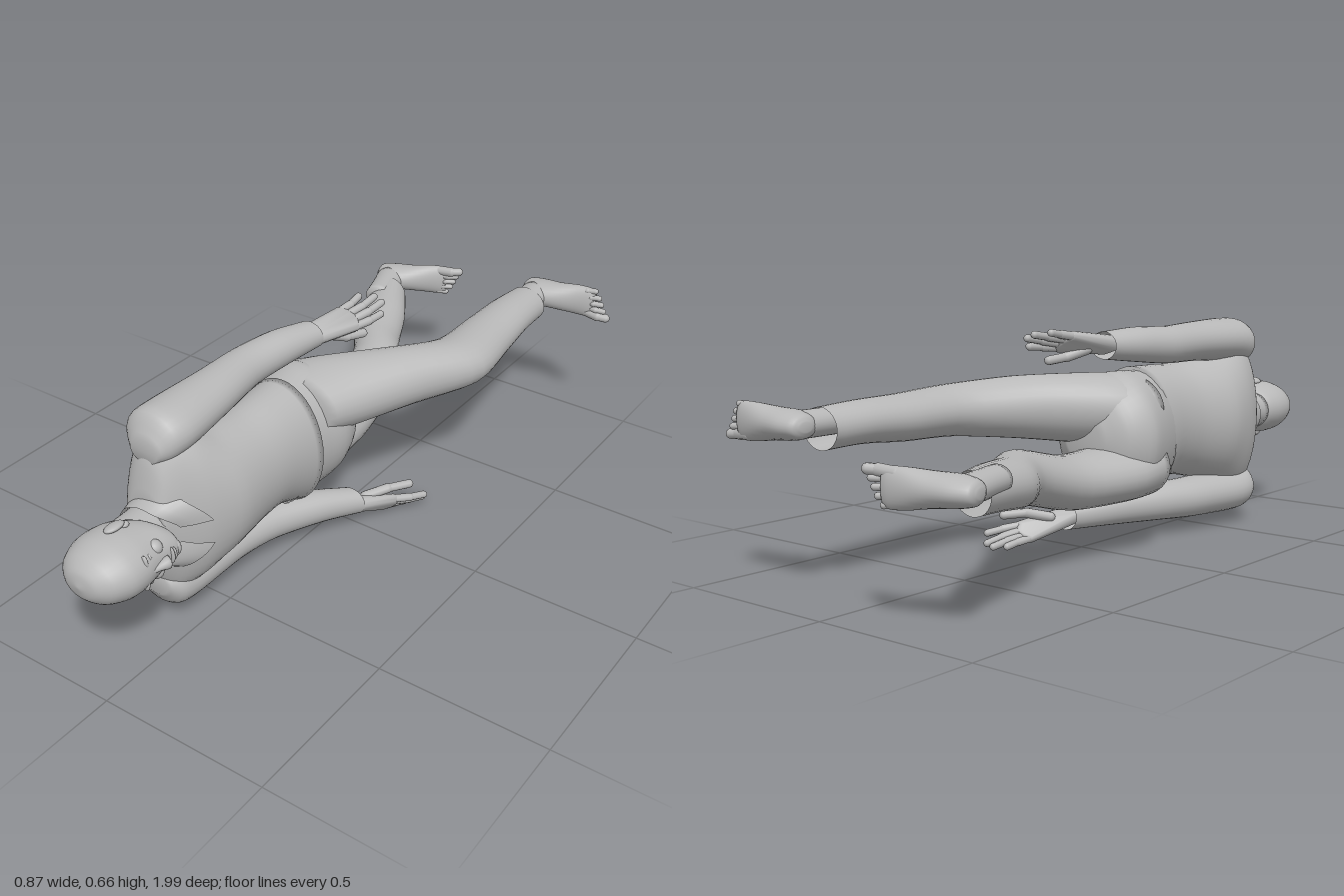
import * as THREE from 'three';
import { mergeVertices, toCreasedNormals } from 'three/addons/utils/BufferGeometryUtils.js';
import { ConvexGeometry } from 'three/addons/geometries/ConvexGeometry.js';

const clay = new THREE.MeshStandardMaterial({ color: 0xb8b8b8, side: THREE.DoubleSide });
const V = (p) => new THREE.Vector3(...p);

function add(parent, name, geometry) {
  const mesh = new THREE.Mesh(geometry, clay);
  mesh.name = name;
  parent.add(mesh);
  return mesh;
}

// Smooth body through elliptical sections [x, y, z, radiusU, radiusV].
// Rings lie across the axis: 'z' gives radii along x, y; 'x' gives radii along y, z.
function loft(sections, axis = 'z', openLow = false, around = 28) {
  const w = axis === 'z' ? 2 : 0;
  const s = sections[0][w] > sections.at(-1)[w] ? [...sections].reverse() : sections;
  const path = new THREE.CatmullRomCurve3(s.map((p) => V(p.slice(0, 3))), false, 'catmullrom', 0.4);
  const radii = new THREE.CatmullRomCurve3(s.map((p) => V([p[3], p[4], 0])), false, 'catmullrom', 0.4);
  const rows = (s.length - 1) * 4, pos = [], index = [];
  for (let i = 0; i <= rows; i++) {
    const c = path.getPoint(i / rows), r = radii.getPoint(i / rows);
    for (let j = 0; j < around; j++) {
      const a = (j / around) * Math.PI * 2;
      const u = r.x * Math.cos(a), v = r.y * Math.sin(a);
      if (w === 2) pos.push(c.x + u, c.y + v, c.z);
      else pos.push(c.x, c.y + u, c.z + v);
      if (i < rows) {
        const k = (j + 1) % around, p = i * around, q = p + around;
        index.push(p + j, p + k, q + k, p + j, q + k, q + j);
      }
    }
  }
  // end caps
  const low = pos.length / 3, top = rows * around;
  pos.push(...s[0].slice(0, 3), ...s.at(-1).slice(0, 3));
  for (let j = 0; j < around; j++) {
    const k = (j + 1) % around;
    if (!openLow) index.push(low, k, j);
    index.push(low + 1, top + j, top + k);
  }
  const g = new THREE.BufferGeometry();
  g.setAttribute('position', new THREE.Float32BufferAttribute(pos, 3));
  g.setIndex(index);
  g.computeVertexNormals();
  return g;
}

function ball(parent, name, p, scale) {
  const m = add(parent, name, new THREE.SphereGeometry(1, 18, 12));
  m.position.set(...p);
  m.scale.set(...scale);
  return m;
}

// Chain of rounded segments, used for fingers and toes
function digit(parent, name, points, r) {
  for (let i = 0; i + 1 < points.length; i++) {
    const a = V(points[i]), b = V(points[i + 1]), d = b.clone().sub(a);
    const m = add(parent, name, new THREE.CapsuleGeometry(r * (1 - 0.12 * i), d.length(), 4, 10));
    m.position.copy(a).add(b).multiplyScalar(0.5);
    m.quaternion.setFromUnitVectors(new THREE.Vector3(0, 1, 0), d.normalize());
  }
}

// Hand: hulled palm with four fingers and a thumb
function makeHand(parent, name, wrist, knuckles, tips, thumb) {
  const hand = new THREE.Group();
  hand.name = name;
  const pts = [];
  const blob = (p, r) => {
    const g = new THREE.IcosahedronGeometry(r, 1).getAttribute('position');
    for (let i = 0; i < g.count; i++) pts.push(new THREE.Vector3().fromBufferAttribute(g, i).add(V(p)));
  };
  wrist.forEach((p) => blob(p, 0.024));
  knuckles.forEach((p) => blob(p, 0.0145));
  add(hand, 'palm', toCreasedNormals(mergeVertices(new ConvexGeometry(pts)), 1));
  tips.forEach((tip, i) => {
    const mid = V(knuckles[i]).lerp(V(tip), 0.5);
    mid.x += 0.005;
    digit(hand, 'finger', [knuckles[i], mid.toArray(), tip], 0.0125);
  });
  digit(hand, 'thumb', thumb, 0.015);
  parent.add(hand);
}

// Foot pointing along +x with the ankle at its origin; medial is the y side of the big toe
function makeFoot(parent, name, medial, p, turn) {
  const foot = new THREE.Group();
  foot.name = name;
  add(foot, 'ankle', loft([[0.005, 0, 0.1, 0.042, 0.036], [0, 0, 0.02, 0.044, 0.036], [-0.005, 0, -0.06, 0.05, 0.036]]));
  add(foot, 'footBody', loft([
    [-0.058, 0, -0.08, 0.012, 0.018], [-0.045, 0, -0.08, 0.03, 0.042], [0, 0, -0.073, 0.039, 0.06],
    [0.06, 0, -0.082, 0.043, 0.049], [0.12, 0, -0.098, 0.05, 0.031], [0.165, 0, -0.105, 0.051, 0.02],
    [0.185, 0, -0.107, 0.042, 0.012]], 'x'));
  for (let i = 0; i < 5; i++) {
    const y = medial * (0.038 - i * 0.0195), tip = 0.228 - i * 0.0095 - (i === 4 ? 0.006 : 0);
    const r = i === 0 ? 0.016 : 0.0105;
    digit(foot, 'toe', [[0.15, y * 0.9, -0.105], [tip - 0.025, y, -0.1], [tip, y * 1.05, -0.107]], r);
  }
  foot.position.set(...p);
  foot.rotation.y = turn;
  parent.add(foot);
}

// Shirt collar: flared band with an opening and two hanging points at the throat
function makeCollar() {
  const n = 40, pos = [], index = [];
  for (let i = 0; i <= n; i++) {
    const a = 0.3 + (i / n) * (Math.PI * 2 - 0.6), c = Math.cos(a), s = Math.sin(a);
    const front = Math.max(0, c) ** 3;
    pos.push(-0.08 + 0.085 * c, 0.335 + 0.075 * s, 0.735 - 0.06 * front);
    pos.push(-0.068 + 0.1 * c, 0.33 + 0.1 * s, 0.715 - 0.07 * front);
    pos.push(-0.06 + 0.12 * c, 0.325 + 0.12 * s, 0.672 - 0.07 * front);
    if (i < n) for (let k = 0; k < 2; k++) {
      const p = i * 3 + k;
      index.push(p, p + 1, p + 4, p, p + 4, p + 3);
    }
  }
  const g = new THREE.BufferGeometry();
  g.setAttribute('position', new THREE.Float32BufferAttribute(pos, 3));
  g.setIndex(index);
  g.computeVertexNormals();
  return g;
}

export function createModel() {
  const figure = new THREE.Group();
  figure.name = 'lyingFigure';

  // Shirt and trousers
  add(figure, 'shirtTorso', loft([
    [-0.06, 0.33, 0.165, 0.143, 0.2], [-0.055, 0.352, 0.28, 0.13, 0.175], [-0.058, 0.35, 0.38, 0.133, 0.175],
    [-0.073, 0.345, 0.5, 0.152, 0.2], [-0.085, 0.345, 0.59, 0.133, 0.245], [-0.095, 0.345, 0.65, 0.105, 0.25],
    [-0.095, 0.345, 0.69, 0.08, 0.19], [-0.09, 0.34, 0.715, 0.065, 0.09]], 'z', false, 40));
  add(figure, 'trouserSeat', loft([
    [-0.06, 0.33, 0.22, 0.13, 0.185], [-0.075, 0.33, 0.12, 0.15, 0.192], [-0.078, 0.335, 0.04, 0.163, 0.187],
    [-0.07, 0.335, -0.03, 0.13, 0.14], [-0.06, 0.34, -0.07, 0.06, 0.06]], 'z', false, 40));
  add(figure, 'leftTrouserLeg', loft([
    [-0.07, 0.42, 0.12, 0.14, 0.095], [-0.03, 0.42, 0, 0.152, 0.103], [0.095, 0.43, -0.18, 0.11, 0.09],
    [0.195, 0.43, -0.36, 0.1, 0.073], [0.19, 0.43, -0.55, 0.086, 0.065], [0.185, 0.435, -0.7, 0.075, 0.058],
    [0.185, 0.43, -0.825, 0.065, 0.056]], 'z', true));
  add(figure, 'rightTrouserLeg', loft([
    [-0.1, 0.25, 0.12, 0.135, 0.1], [-0.105, 0.235, 0, 0.135, 0.085], [-0.1, 0.235, -0.2, 0.105, 0.078],
    [-0.13, 0.285, -0.42, 0.093, 0.074], [-0.222, 0.3, -0.56, 0.09, 0.066], [-0.28, 0.315, -0.7, 0.08, 0.06],
    [-0.335, 0.325, -0.82, 0.06, 0.055]], 'z', true));
  add(figure, 'collar', makeCollar());

  // Sleeves
  add(figure, 'leftSleeve', loft([
    [-0.1, 0.555, 0.69, 0.045, 0.035], [-0.105, 0.578, 0.65, 0.085, 0.07], [-0.1, 0.588, 0.58, 0.092, 0.068],
    [-0.108, 0.592, 0.4, 0.075, 0.06], [-0.12, 0.592, 0.25, 0.062, 0.056], [-0.1, 0.6, 0.12, 0.056, 0.051],
    [-0.073, 0.602, 0.01, 0.046, 0.04]], 'z', true));
  add(figure, 'rightSleeve', loft([
    [-0.1, 0.135, 0.69, 0.045, 0.035], [-0.11, 0.113, 0.65, 0.085, 0.07], [-0.11, 0.103, 0.58, 0.09, 0.068],
    [-0.095, 0.103, 0.4, 0.075, 0.062], [-0.06, 0.104, 0.27, 0.064, 0.058], [0.01, 0.098, 0.12, 0.058, 0.052],
    [0.075, 0.084, 0.01, 0.048, 0.043]], 'z', true));

  // Hands
  makeHand(figure, 'leftHand', [[-0.08, 0.607, 0.04], [-0.06, 0.598, 0.03]],
    [[0.002, 0.6, -0.105], [-0.012, 0.613, -0.115], [-0.03, 0.625, -0.112], [-0.05, 0.634, -0.1]],
    [[0.026, 0.607, -0.2], [0.014, 0.632, -0.222], [-0.012, 0.643, -0.222], [-0.045, 0.648, -0.19]],
    [[-0.045, 0.592, -0.03], [-0.012, 0.572, -0.085], [0.006, 0.565, -0.14]]);
  makeHand(figure, 'rightHand', [[0.065, 0.08, 0.04], [0.085, 0.084, 0.03]],
    [[0.155, 0.062, -0.095], [0.15, 0.047, -0.105], [0.138, 0.034, -0.103], [0.122, 0.027, -0.09]],
    [[0.207, 0.047, -0.185], [0.19, 0.022, -0.205], [0.168, 0.014, -0.203], [0.143, 0.012, -0.17]],
    [[0.095, 0.085, -0.03], [0.14, 0.1, -0.085], [0.178, 0.098, -0.145]]);

  // Feet
  makeFoot(figure, 'leftFoot', -1, [0.19, 0.447, -0.825], -0.06);
  makeFoot(figure, 'rightFoot', 1, [-0.357, 0.347, -0.825], 0.22);

  // Head and neck
  const head = new THREE.Group();
  head.name = 'head';
  add(head, 'neck', loft([[-0.095, 0.34, 0.62, 0.08, 0.075], [-0.09, 0.34, 0.7, 0.07, 0.062], [-0.08, 0.34, 0.8, 0.075, 0.062]]));
  add(head, 'skull', loft([
    [-0.055, 0.342, 1, 0.006, 0.005], [-0.055, 0.342, 0.99, 0.052, 0.039], [-0.055, 0.342, 0.96, 0.09, 0.067],
    [-0.055, 0.342, 0.91, 0.112, 0.084], [-0.055, 0.342, 0.86, 0.114, 0.086], [-0.052, 0.342, 0.81, 0.103, 0.079],
    [-0.032, 0.342, 0.765, 0.08, 0.066], [-0.008, 0.342, 0.735, 0.052, 0.044], [0, 0.342, 0.722, 0.022, 0.02]], 'z', false, 36));
  add(head, 'nose', loft([
    [0.046, 0.342, 0.855, 0.008, 0.008], [0.052, 0.342, 0.825, 0.012, 0.01],
    [0.057, 0.342, 0.798, 0.016, 0.017], [0.048, 0.342, 0.786, 0.008, 0.012]], 'z', false, 14));
  for (const s of [1, -1]) {
    ball(head, 'brow', [0.042, 0.342 + s * 0.03, 0.863], [0.012, 0.024, 0.007]);
    ball(head, 'eye', [0.036, 0.342 + s * 0.032, 0.843], [0.012, 0.015, 0.007]);
    ball(head, 'cheek', [0.022, 0.342 + s * 0.036, 0.805], [0.022, 0.022, 0.022]);
    // ear shell and lobe
    ball(head, 'ear', [-0.065, 0.342 + s * 0.09, 0.85], [0.021, 0.01, 0.032]).rotation.z = s * 0.3;
    ball(head, 'earLobe', [-0.056, 0.342 + s * 0.085, 0.822], [0.011, 0.008, 0.013]);
  }
  ball(head, 'upperLip', [0.045, 0.342, 0.768], [0.012, 0.024, 0.005]);
  ball(head, 'lowerLip', [0.043, 0.342, 0.759], [0.012, 0.02, 0.006]);
  ball(head, 'chin', [0.03, 0.342, 0.738], [0.018, 0.024, 0.014]);
  figure.add(head);

  return figure;
}
